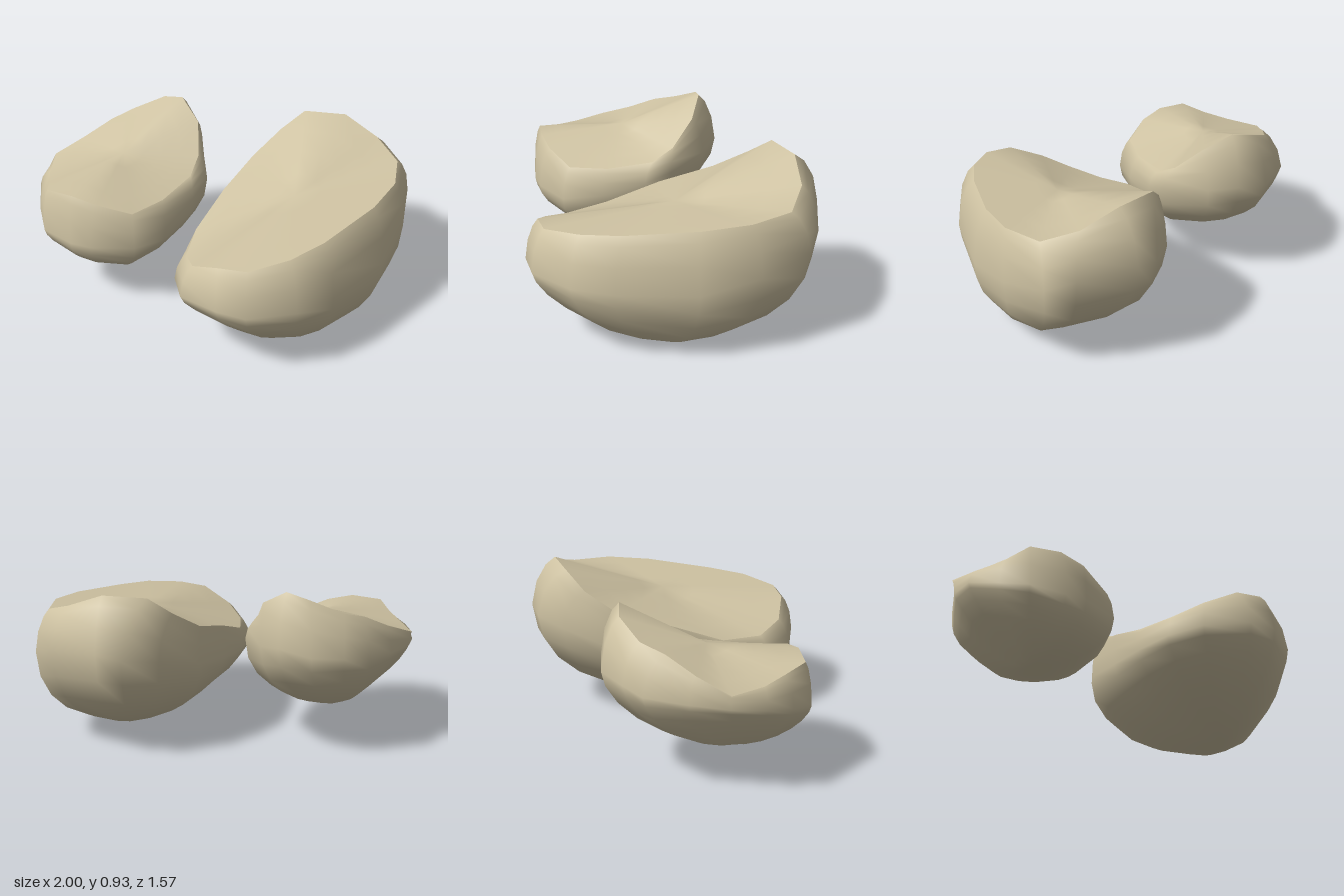
import * as THREE from 'three';
import { mergeVertices } from 'three/addons/utils/BufferGeometryUtils.js';

// Smooth skin over closed rings of points, listed from top to bottom
function skin(rings) {
  const n = rings[0].length;
  const index = [];
  for (let r = 0; r < rings.length - 1; r++) {
    for (let i = 0; i < n; i++) {
      const j = (i + 1) % n;
      const a = r * n + i, b = r * n + j, c = a + n, d = b + n;
      index.push(a, c, d, a, d, b);
    }
  }
  let geometry = new THREE.BufferGeometry();
  geometry.setAttribute('position', new THREE.Float32BufferAttribute(rings.flat(2), 3));
  geometry.setIndex(index);
  geometry = mergeVertices(geometry, 1e-4);
  geometry.computeVertexNormals();
  return geometry;
}

// Moves a ring toward another ring, with separate amounts across and upward
function blend(from, to, across, up) {
  return from.map((p, i) => [
    p[0] + (to[i][0] - p[0]) * across,
    p[1] + (to[i][1] - p[1]) * up,
    p[2] + (to[i][2] - p[2]) * across,
  ]);
}

// Ring of the underside at fraction f of the girth; roundness varies by direction
function undersideRing(girth, bottom, roundness, f) {
  return girth.map(([x, y, z]) => {
    const dx = x - bottom[0], dz = z - bottom[2];
    const p = roundness.base + (roundness.x * dx + roundness.z * dz) / Math.hypot(dx, dz);
    const height = 1 - Math.pow(1 - Math.pow(f, p), 1 / p);
    return [bottom[0] + dx * f, bottom[1] + (y - bottom[1]) * height, bottom[2] + dz * f];
  });
}

function makeStone(name, material, { rim, girth, top, bottom, roundness }) {
  const stone = new THREE.Group();
  stone.name = name;
  const tops = rim.map(() => top);

  // Rounded body: rim, shoulder, widest girth, then a curved underside
  const bodyRings = [rim, blend(girth, rim, 0.62, 0.85), blend(girth, rim, 0.22, 0.5), girth];
  for (const f of [0.97, 0.88, 0.74, 0.56, 0.35, 0.16, 0]) {
    bodyRings.push(undersideRing(girth, bottom, roundness, f));
  }
  const body = new THREE.Mesh(skin(bodyRings), material);
  body.name = name + 'Body';

  // Broken upper face, meeting the body at a sharp rim
  const faceRings = [0, 0.25, 0.5, 0.75, 1].map((f) => blend(tops, rim, f, f));
  const face = new THREE.Mesh(skin(faceRings), material);
  face.name = name + 'BrokenFace';

  stone.add(body, face);
  return stone;
}

export function createModel() {
  const group = new THREE.Group();
  group.name = 'brokenStones';
  const sandstone = new THREE.MeshStandardMaterial({ color: 0xcfc3a3 });
  sandstone.name = 'sandstone';

  // Outlines run from the front through +x, the back and -x
  const large = {
    rim: [
      [0.42, 0.63, 0.71], [0.58, 0.65, 0.69], [0.73, 0.68, 0.53], [0.82, 0.7, 0.33],
      [0.92, 0.74, -0.05], [0.93, 0.76, -0.3], [0.85, 0.77, -0.52], [0.68, 0.83, -0.62],
      [0.47, 0.91, -0.64], [0.24, 0.9, -0.58], [0.14, 0.8, -0.48], [0.06, 0.69, -0.3],
      [0.04, 0.61, 0], [0.04, 0.51, 0.3], [0.12, 0.5, 0.53], [0.24, 0.55, 0.66],
    ],
    girth: [
      [0.45, 0.42, 0.785], [0.61, 0.42, 0.765], [0.81, 0.42, 0.59], [0.91, 0.42, 0.38],
      [1, 0.42, -0.03], [0.98, 0.48, -0.35], [0.89, 0.55, -0.62], [0.75, 0.6, -0.7],
      [0.45, 0.63, -0.785], [0.32, 0.6, -0.75], [0.17, 0.57, -0.61], [0.05, 0.48, -0.33],
      [0.03, 0.42, 0], [0.03, 0.38, 0.3], [0.07, 0.36, 0.57], [0.2, 0.38, 0.72],
    ],
    top: [0.48, 0.7, 0],
    bottom: [0.64, 0, 0.13],
    roundness: { base: 1.8, x: 0.2, z: -0.25 },
  };
  const small = {
    rim: [
      [-0.56, 0.69, 0.6], [-0.42, 0.66, 0.57], [-0.26, 0.6, 0.47], [-0.2, 0.6, 0.26],
      [-0.18, 0.63, 0], [-0.2, 0.7, -0.12], [-0.28, 0.84, -0.25], [-0.43, 0.93, -0.32],
      [-0.56, 0.9, -0.33], [-0.72, 0.82, -0.24], [-0.8, 0.78, -0.12], [-0.9, 0.7, 0.02],
      [-1, 0.63, 0.18], [-0.9, 0.63, 0.36], [-0.81, 0.65, 0.48], [-0.73, 0.68, 0.6],
    ],
    girth: [
      [-0.55, 0.42, 0.655], [-0.43, 0.42, 0.635], [-0.22, 0.42, 0.52], [-0.16, 0.45, 0.3],
      [-0.135, 0.52, 0.05], [-0.13, 0.58, -0.1], [-0.29, 0.62, -0.32], [-0.42, 0.65, -0.42],
      [-0.6, 0.62, -0.43], [-0.75, 0.6, -0.33], [-0.86, 0.58, -0.24], [-0.93, 0.56, -0.02],
      [-0.985, 0.55, 0.18], [-0.97, 0.53, 0.37], [-0.86, 0.48, 0.52], [-0.74, 0.44, 0.64],
    ],
    top: [-0.55, 0.735, 0.12],
    bottom: [-0.6, 0.17, 0.27],
    roundness: { base: 1.75, x: 0.5, z: 0 },
  };

  group.add(makeStone('largeStone', sandstone, large));
  group.add(makeStone('smallStone', sandstone, small));
  return group;
}
